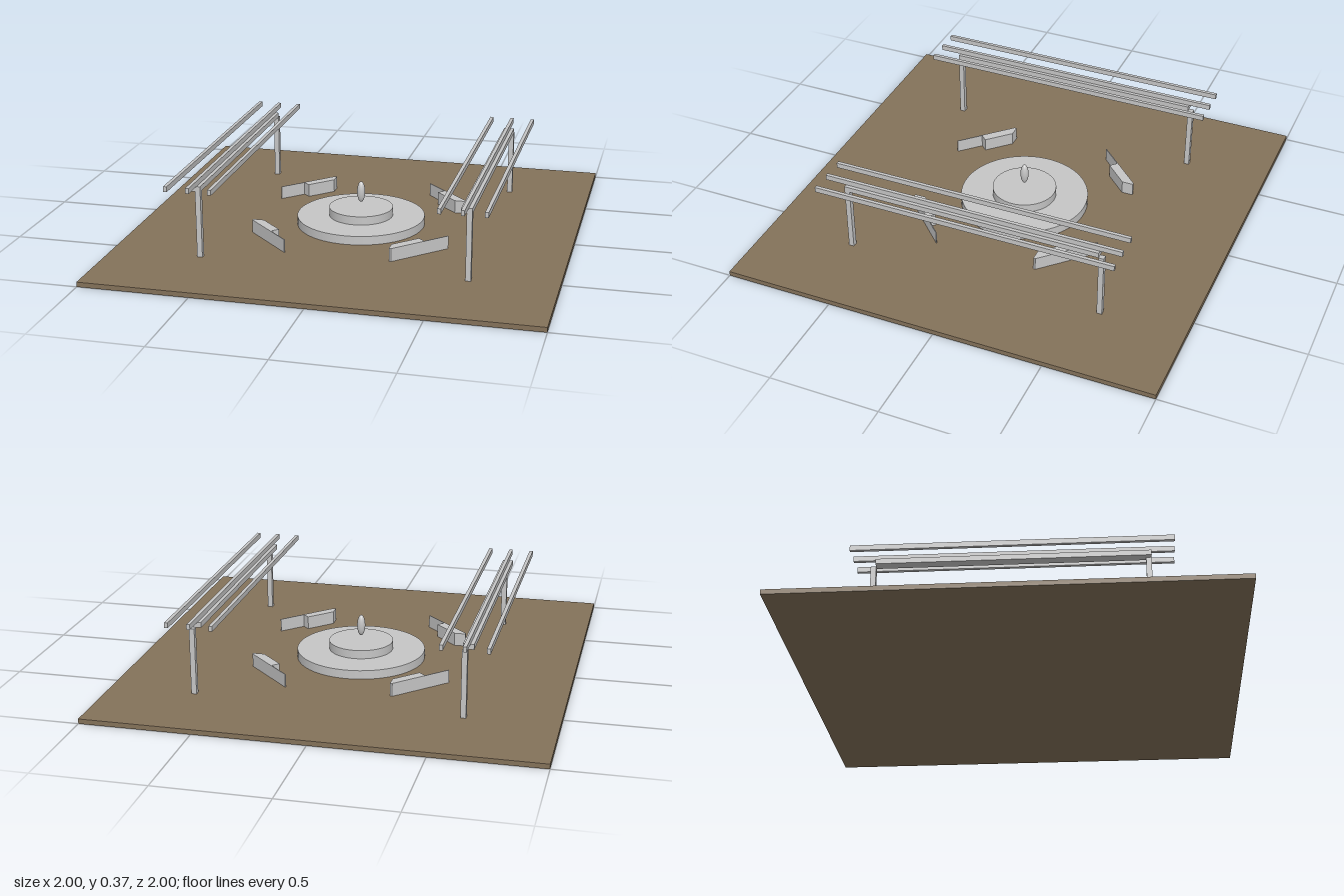
import * as THREE from 'three';

export function createModel() {
  const model = new THREE.Group();
  model.name = 'courtyard';
  const earth = new THREE.MeshStandardMaterial({ name: 'earth brown', color: 0x84725a });
  const stone = new THREE.MeshStandardMaterial({ name: 'pale stone', color: 0xc6c6c6 });

  const add = (parent, name, geometry, material, x, y, z) => {
    const mesh = new THREE.Mesh(geometry, material);
    mesh.name = name;
    mesh.position.set(x, y, z);
    parent.add(mesh);
    return mesh;
  };
  // Box given by its lower and upper limits on each axis
  const box = (parent, name, material, [x0, x1], [y0, y1], [z0, z1]) =>
    add(parent, name, new THREE.BoxGeometry(x1 - x0, y1 - y0, z1 - z0), material,
      (x0 + x1) / 2, (y0 + y1) / 2, (z0 + z1) / 2);

  // Ground slab
  box(model, 'ground', earth, [-1, 1], [0, 0.022], [-1, 1]);

  // Central fountain: two round steps and a floating drop
  const fountain = new THREE.Group();
  fountain.name = 'fountain';
  model.add(fountain);
  add(fountain, 'lowerBasin', new THREE.CylinderGeometry(0.298, 0.298, 0.042, 64), stone, 0, 0.042, 0);
  add(fountain, 'upperBasin', new THREE.CylinderGeometry(0.149, 0.149, 0.04, 64), stone, 0, 0.083, 0);
  add(fountain, 'drop', new THREE.SphereGeometry(1, 32, 24), stone, 0, 0.175, 0).scale.set(0.019, 0.05, 0.019);

  // Two identical pergolas
  for (const side of [-1, 1]) {
    const pergola = new THREE.Group();
    pergola.name = side < 0 ? 'rightPergola' : 'leftPergola';
    pergola.position.x = side * 0.6;
    model.add(pergola);
    box(pergola, 'frontPost', stone, [0, 0.024], [0.022, 0.326], [0.576, 0.6]);
    box(pergola, 'backPost', stone, [0, 0.024], [0.022, 0.326], [-0.624, -0.6]);
    box(pergola, 'beam', stone, [-0.024, 0.024], [0.326, 0.35], [-0.6, 0.6]);
    for (const x of [-0.1, 0, 0.1])
      box(pergola, 'rafter', stone, [x - 0.008, x + 0.008], [0.35, 0.374], [-0.7, 0.7]);
  }

  // Four diagonal benches: a half-length block against a thin back panel
  const outline = [[0.235, 0.455], [0.235, 0.403], [0.337, 0.301], [0.369, 0.331], [0.245, 0.455]];
  const seatShape = new THREE.Shape(outline.map(([x, z]) => new THREE.Vector2(x, -z)));
  const seatGeometry = new THREE.ExtrudeGeometry(seatShape, { depth: 0.061, bevelEnabled: false });
  seatGeometry.rotateX(-Math.PI / 2);
  for (let i = 0; i < 4; i++) {
    const bench = new THREE.Group();
    bench.name = 'bench';
    bench.rotation.y = i * Math.PI / 2;
    model.add(bench);
    add(bench, 'seat', seatGeometry, stone, 0, 0.022, 0);
    add(bench, 'backPanel', new THREE.BoxGeometry(0.304, 0.061, 0.004), stone,
      0.351, 0.0525, 0.347).rotation.y = Math.PI / 4;
  }

  return model;
}
